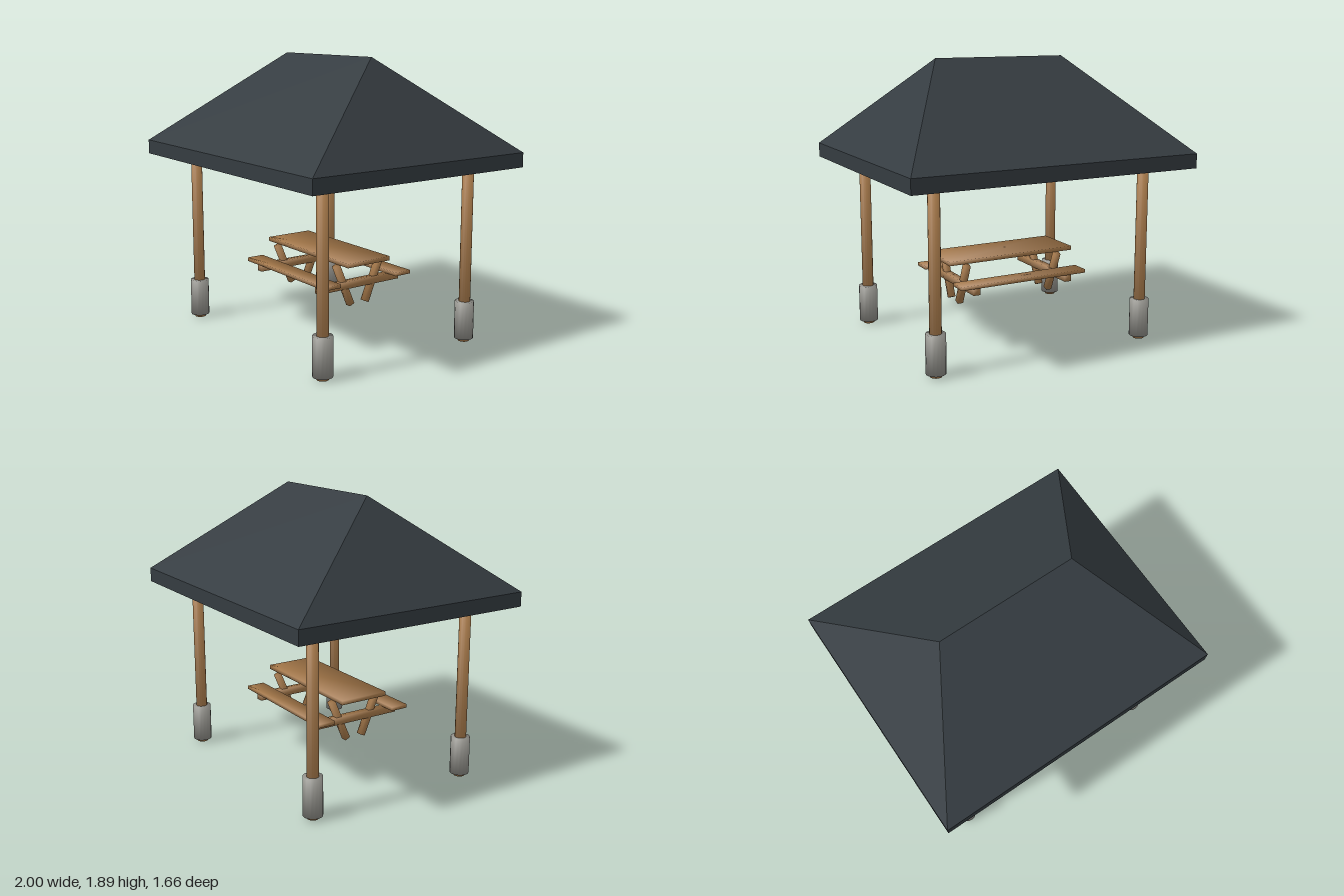
import * as THREE from 'three';

const wood = new THREE.MeshStandardMaterial({ color: 0xaa7c4c });
wood.name = 'wood';
const concrete = new THREE.MeshStandardMaterial({ color: 0x93928c });
concrete.name = 'concrete';
const slate = new THREE.MeshStandardMaterial({ color: 0x353c41, side: THREE.DoubleSide });
slate.name = 'slate';

// Point every normal out from the centre so shading runs softly over the edges
function soften(geometry) {
  geometry.computeBoundingBox();
  const half = geometry.boundingBox.getSize(new THREE.Vector3()).multiplyScalar(0.5);
  const { position, normal } = geometry.attributes;
  const v = new THREE.Vector3();
  for (let i = 0; i < position.count; i++) {
    v.fromBufferAttribute(position, i).divide(half).normalize();
    normal.setXYZ(i, v.x, v.y, v.z);
  }
  return geometry;
}

function add(parent, name, geometry, material) {
  const mesh = new THREE.Mesh(geometry, material);
  mesh.name = name;
  parent.add(mesh);
  return mesh;
}

// Round log between two points
function log(parent, name, from, to, radius, material = wood) {
  const a = new THREE.Vector3(...from);
  const b = new THREE.Vector3(...to);
  const dir = b.clone().sub(a);
  const mesh = add(parent, name, soften(new THREE.CylinderGeometry(radius, radius, dir.length(), 16)), material);
  mesh.position.copy(a).add(b).multiplyScalar(0.5);
  mesh.quaternion.setFromUnitVectors(new THREE.Vector3(0, 1, 0), dir.normalize());
}

function plank(parent, name, size, position, tilt = 0) {
  const mesh = add(parent, name, soften(new THREE.BoxGeometry(...size)), wood);
  mesh.position.set(...position);
  mesh.rotation.x = tilt;
}

// Hip roof slab: upper slopes, matching slopes beneath, and a fascia band between
function roofGeometry() {
  const top = 1.28, bottom = 1.184, rise = 0.61;
  const ring = (y) => [[-1, y, 0.83], [1, y, 0.83], [1, y, -0.83], [-1, y, -0.83]];
  const points = [];
  const tri = (a, b, c) => points.push(...a, ...b, ...c);
  const quad = (a, b, c, d) => { tri(a, b, c); tri(a, c, d); };
  const slopes = (y, flip) => {
    const [a, b, c, d] = ring(y);
    const left = [0.47, y + rise, 0], right = [-0.47, y + rise, 0];
    for (const face of [[a, b, left, right], [c, d, right, left], [b, c, left], [d, a, right]]) {
      if (flip) face.reverse();
      if (face.length === 4) quad(...face);
      else tri(...face);
    }
  };
  const low = ring(bottom), eave = ring(top);
  for (let i = 0; i < 4; i++) {
    const j = (i + 1) % 4;
    quad(low[i], low[j], eave[j], eave[i]);
  }
  slopes(top, false);
  slopes(bottom, true);
  const geometry = new THREE.BufferGeometry();
  geometry.setAttribute('position', new THREE.Float32BufferAttribute(points, 3));
  geometry.computeVertexNormals();
  return geometry;
}

export function createModel() {
  const model = new THREE.Group();
  model.name = 'picnicShelter';
  const px = 0.755, pz = 0.585;
  add(model, 'roof', roofGeometry(), slate);

  // Posts with concrete footings and top collars
  for (const sx of [-1, 1]) {
    for (const sz of [-1, 1]) {
      const x = sx * px, z = sz * pz;
      const post = new THREE.Group();
      post.name = 'post';
      model.add(post);
      log(post, 'shaft', [x, 0, z], [x, 1.25, z], 0.038);
      log(post, 'footing', [x, 0.02, z], [x, 0.275, z], 0.064, concrete);
      log(post, 'collar', [x, 1.21, z], [x, 1.3, z], 0.052);
    }
  }

  // Ring of beams under the roof
  for (const s of [-1, 1]) {
    log(model, 'longBeam', [-px, 1.242, s * pz], [px, 1.242, s * pz], 0.05);
    log(model, 'sideBeam', [s * px, 1.242, -pz], [s * px, 1.242, pz], 0.05);
  }

  // Picnic table
  const table = new THREE.Group();
  table.name = 'picnicTable';
  model.add(table);
  plank(table, 'tableTop', [0.93, 0.028, 0.345], [0, 0.57, 0]);
  for (const s of [-1, 1]) {
    plank(table, 'bench', [0.93, 0.024, 0.125], [0, 0.448, s * 0.291]);
    const x = s * 0.345;
    plank(table, 'crossBeam', [0.05, 0.05, 0.66], [x, 0.409, 0]);
    for (const t of [-1, 1]) {
      plank(table, 'leg', [0.04, 0.306, 0.04], [x, 0.409, t * 0.12], t * Math.atan2(0.12, 0.282));
    }
  }
  return model;
}
